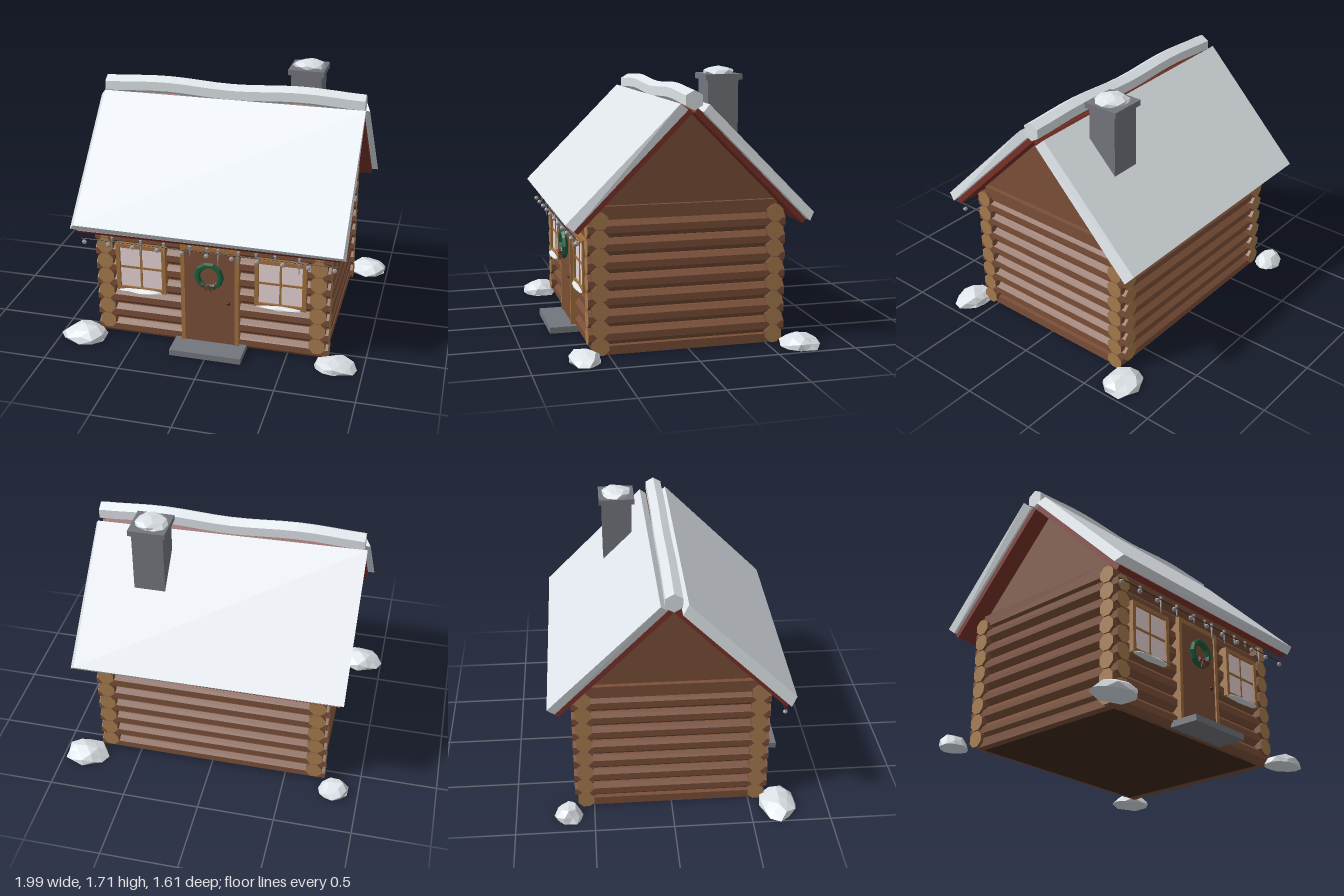
import * as THREE from 'three';

const mat = (name, color, extra = {}) => {
  const m = new THREE.MeshStandardMaterial({ color, flatShading: true, ...extra });
  m.name = name;
  return m;
};

export function createModel() {
  const log = mat('log brown', 0x7a4f38);
  const dark = mat('dark wood', 0x3f291b);
  const logEnd = mat('log end tan', 0xa67c4e);
  const trim = mat('trim wood', 0xa06f3e);
  const red = mat('roof red', 0x7a3229);
  const snow = mat('snow', 0xeaf0f5);
  const stone = mat('stone grey', 0x73767d);
  const glass = mat('window glass', 0xf0dcdc);
  const green = mat('wreath green', 0x1f5a3c);
  const metal = mat('ornament grey', 0x9a9aa2);

  const cabin = new THREE.Group();
  cabin.name = 'logCabin';
  const add = (name, geo, material, x = 0, y = 0, z = 0, parent = cabin) => {
    const m = new THREE.Mesh(geo, material);
    m.name = name;
    m.position.set(x, y, z);
    parent.add(m);
    return m;
  };
  const box = (name, w, h, d, material, x, y, z, parent) =>
    add(name, new THREE.BoxGeometry(w, h, d), material, x, y, z, parent);

  // Body behind the logs
  box('wallCore', 1.38, 0.88, 1.09, dark, 0, 0.44, 0);

  // Eight courses of logs, the side walls raised by half a log
  const makeLog = (length) => new THREE.CylinderGeometry(0.056, 0.056, length, 8).rotateY(Math.PI / 8);
  const frontLog = makeLog(1.53).rotateZ(Math.PI / 2);
  const sideLog = makeLog(1.245).rotateX(Math.PI / 2);
  const logMats = [log, logEnd, logEnd];
  for (const s of [-1, 1]) {
    for (let i = 0; i < 8; i++) {
      add('wallLog', frontLog, logMats, 0, 0.055 + i * 0.11, s * 0.55);
      if (i < 7) add('sideLog', sideLog, logMats, s * 0.695, 0.11 + i * 0.11, 0);
    }
    box('sideSill', 0.1, 0.055, 1.1, log, s * 0.695, 0.0275, 0);
    box('topSill', 0.1, 0.08, 1.1, log, s * 0.695, 0.87, 0);
  }

  // Gable prism under the roof
  const tri = new THREE.Shape([[-0.59, 0.88], [0.59, 0.88], [0, 1.47]].map(p => new THREE.Vector2(...p)));
  const gable = new THREE.ExtrudeGeometry(tri, { depth: 1.43, bevelEnabled: false });
  add('gable', gable.translate(0, 0, -0.715).rotateY(Math.PI / 2), log);

  // Each roof slope: a red board with an uneven slab of snow
  const snowSlab = (seed) => {
    const g = new THREE.BoxGeometry(1.73, 0.06, 0.96);
    const p = g.attributes.position;
    for (let i = 0; i < p.count; i++) {
      const x = p.getX(i), y = p.getY(i), z = p.getZ(i);
      const k = Math.sign(x) + 2 * Math.sign(y) + 4 * Math.sign(z) + seed;
      p.setXYZ(i, x + 0.02 * Math.sin(k * 2.3), y, z + 0.012 * Math.sin(k * 1.7));
    }
    g.computeVertexNormals();
    return g;
  };
  [0, 1].forEach((i) => {
    const slope = new THREE.Group();
    slope.name = i ? 'backRoof' : 'frontRoof';
    slope.rotation.y = i * Math.PI;
    cabin.add(slope);
    box('roofBoard', 1.68, 0.035, 0.98, red, 0, 1.1275, 0.3625, slope).rotation.x = Math.PI / 4;
    add('roofSnow', snowSlab(i * 3 + 1), snow, 0, 1.158, 0.404, slope).rotation.x = Math.PI / 4;
  });

  // Wavy hexagonal snow along the ridge
  const ridge = new THREE.CylinderGeometry(0.06, 0.06, 1.71, 6, 16).rotateZ(Math.PI / 2);
  ridge.rotateX(Math.PI / 2);
  const rp = ridge.attributes.position;
  // turn the hexagon so that a point faces up
  const highest = Math.max(...Array.from({ length: rp.count }, (_, i) => rp.getY(i)));
  if (highest < 0.058) ridge.rotateX(Math.PI / 6);
  for (let i = 0; i < rp.count; i++) {
    rp.setY(i, rp.getY(i) - 0.01 * Math.cos(rp.getX(i) * Math.PI * 2 / 0.9));
  }
  ridge.computeVertexNormals();
  add('ridgeSnow', ridge, snow, 0, 1.545, 0);

  // Low snow lumps, flattened underneath
  const lump = (rx, h, rz, seed) => {
    const g = new THREE.IcosahedronGeometry(1, 1);
    const p = g.attributes.position;
    for (let i = 0; i < p.count; i++) {
      const x = p.getX(i), y = p.getY(i), z = p.getZ(i);
      const r = 0.95 + 0.1 * Math.sin(x * 5 + y * 7 + z * 3 + seed);
      p.setXYZ(i, x * r * rx, Math.max(0, y * r * h), z * r * rz);
    }
    g.computeVertexNormals();
    return g;
  };
  [[-0.84, 0.68, 0.16, 0.125], [0.82, 0.66, 0.14, 0.11],
    [-0.84, -0.665, 0.105, 0.09], [0.85, -0.69, 0.15, 0.125]].forEach(([x, z, rx, rz], i) =>
    add('snowDrift', lump(rx, i % 2 ? 0.075 : 0.09, rz, i * 2), snow, x, 0, z));

  // Chimney
  box('chimney', 0.2, 0.6, 0.195, stone, 0.44, 1.34, -0.277);
  box('chimneyCap', 0.235, 0.036, 0.235, stone, 0.44, 1.648, -0.277);
  add('chimneySnow', lump(0.108, 0.046, 0.108, 1), snow, 0.44, 1.665, -0.277);

  // Door with trim, knob and step
  box('doorPanel', 0.33, 0.66, 0.05, log, 0, 0.37, 0.595);
  for (const s of [-1, 1]) box('doorTrim', 0.026, 0.69, 0.07, trim, s * 0.177, 0.385, 0.595);
  box('doorTrimTop', 0.38, 0.028, 0.07, trim, 0, 0.716, 0.595);
  add('doorKnob', new THREE.IcosahedronGeometry(0.012, 1), dark, 0.122, 0.345, 0.628);
  box('doorStep', 0.47, 0.04, 0.19, stone, 0, 0.02, 0.68);

  // Windows with frames, bars and snowy sills
  for (const x of [-0.455, 0.455]) {
    const win = new THREE.Group();
    win.name = 'window';
    win.position.set(x, 0.52, 0.6);
    cabin.add(win);
    box('glassPane', 0.29, 0.29, 0.03, glass, 0, 0, 0, win);
    for (const s of [-1, 1]) {
      box('frameSide', 0.026, 0.33, 0.06, trim, s * 0.152, 0, 0, win);
      box('frameRail', 0.33, 0.026, 0.06, trim, 0, s * 0.152, 0, win);
    }
    box('verticalBar', 0.014, 0.29, 0.04, trim, 0, 0, 0, win);
    box('crossBar', 0.29, 0.014, 0.04, trim, 0, 0, 0, win);
    add('sillSnow', lump(0.16, 0.022, 0.035, x), snow, 0, -0.166, 0.025, win);
  }

  // Wreath and bow
  add('wreath', new THREE.TorusGeometry(0.078, 0.02, 6, 10), green, 0, 0.535, 0.642);
  for (const s of [-1, 1]) {
    const loop = add('bowLoop', new THREE.ConeGeometry(0.016, 0.042, 5), red, s * 0.022, 0.483, 0.664);
    loop.rotation.z = s * Math.PI / 2;
    box('bowTail', 0.01, 0.045, 0.006, red, s * 0.011, 0.455, 0.664).rotation.z = s * 0.35;
  }
  add('bowKnot', new THREE.IcosahedronGeometry(0.011, 0), red, 0, 0.483, 0.67);

  // String of ornaments and icicles under the front eave
  const wire = new THREE.CylinderGeometry(0.003, 0.003, 1.64, 5).rotateZ(Math.PI / 2);
  add('garlandWire', wire, dark, 0, 0.73, 0.695);
  for (let i = 0; i < 11; i++) {
    const x = -0.8 + i * 0.16;
    add('ornament', new THREE.IcosahedronGeometry(0.017, 0), metal, x, 0.708, 0.7);
  }
  [-0.62, -0.43, -0.28, -0.11, 0, 0.07, 0.2, 0.31, 0.43, 0.58].forEach((x, i) => {
    const h = 0.05 + 0.025 * (i * 3 % 4);
    const icicle = new THREE.ConeGeometry(0.011, h, 5).rotateX(Math.PI);
    add('icicle', icicle, metal, x, 0.755 - h / 2, 0.685);
  });

  return cabin;
}
